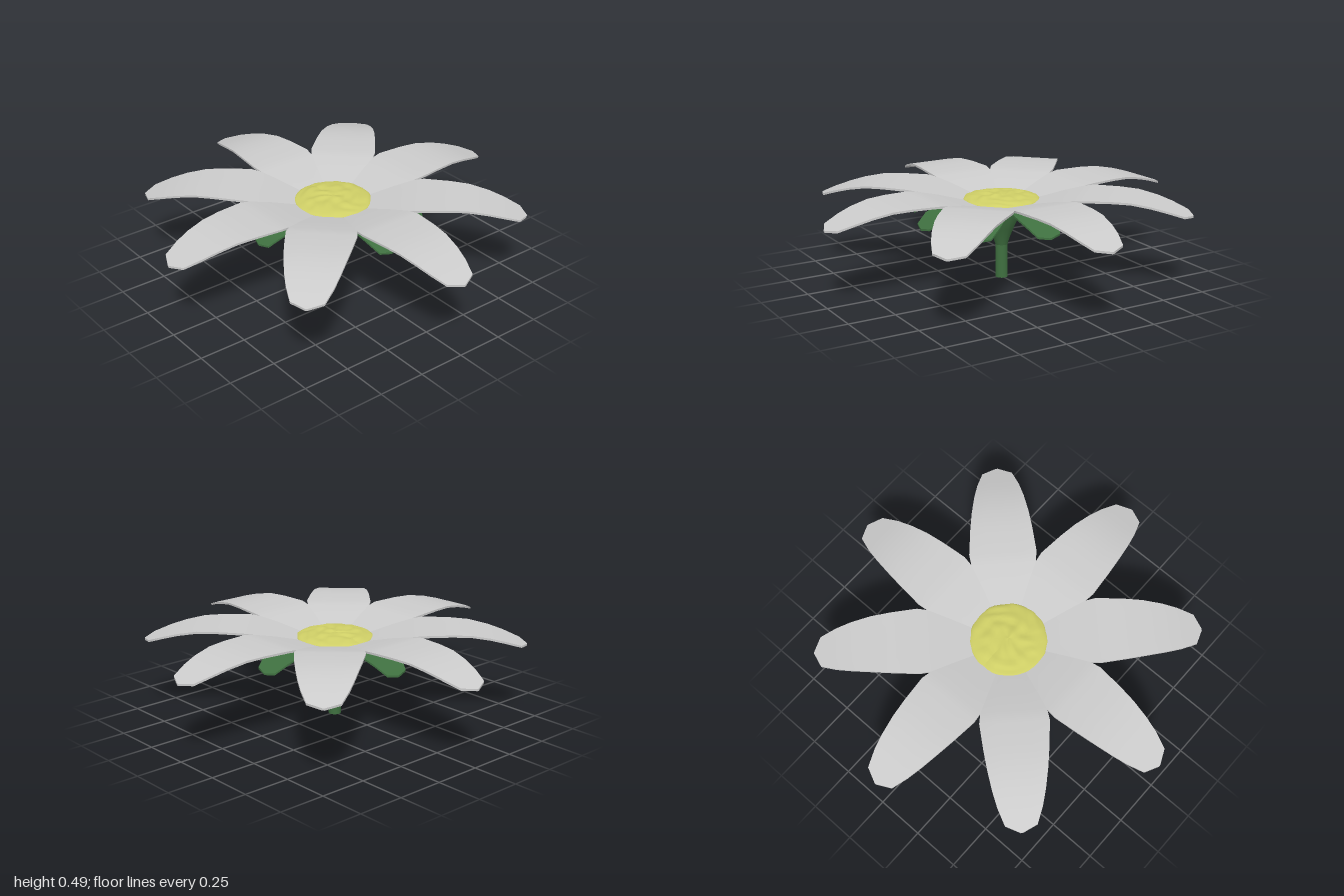
import * as THREE from 'three';
import { toCreasedNormals } from 'three/addons/utils/BufferGeometryUtils.js';

const COUNT = 8;

// Thin blade running out along +z; each section is [radius, top height, half width]
function bladeGeometry(sections, thickness) {
  const n = sections.length - 1;
  const geo = new THREE.BoxGeometry(2, 1, 1, 4, 1, n);
  const pos = geo.attributes.position;
  for (let i = 0; i < pos.count; i++) {
    const [r, y, w] = sections[Math.round((pos.getZ(i) + 0.5) * n)];
    pos.setXYZ(i, pos.getX(i) * w, pos.getY(i) > 0 ? y : y - thickness, r);
  }
  geo.computeVertexNormals();
  return geo;
}

// Ring of identical blades around the vertical axis
function whorl(name, geometry, material) {
  const group = new THREE.Group();
  group.name = name + 's';
  for (let i = 0; i < COUNT; i++) {
    const blade = new THREE.Mesh(geometry, material);
    blade.name = name;
    blade.rotation.y = (i / COUNT) * Math.PI * 2;
    group.add(blade);
  }
  return group;
}

function turned(name, profile, material) {
  const points = profile.map(([r, y]) => new THREE.Vector2(r, y));
  const geo = toCreasedNormals(new THREE.LatheGeometry(points, 16), 0.7);
  const mesh = new THREE.Mesh(geo, material);
  mesh.name = name;
  return mesh;
}

// Flattened, lumpy button of pollen
function flowerCentre(material) {
  const geo = new THREE.SphereGeometry(1, 40, 28);
  const pos = geo.attributes.position;
  for (let i = 0; i < pos.count; i++) {
    const x = pos.getX(i), y = pos.getY(i), z = pos.getZ(i);
    const lump = Math.sin(9 * x + 2 * Math.sin(5 * z)) * Math.sin(8 * z + 2 * Math.sin(6 * x + 1));
    const ring = 1 + 0.02 * lump;
    pos.setXYZ(i, x * 0.2 * ring, 0.427 + y * 0.024 + Math.max(y, 0) * 0.007 * lump, z * 0.2 * ring);
  }
  geo.computeVertexNormals();
  const mesh = new THREE.Mesh(geo, material);
  mesh.name = 'flowerCentre';
  return mesh;
}

export function createModel() {
  const grey = new THREE.MeshStandardMaterial({ color: 0xcccccc });
  const green = new THREE.MeshStandardMaterial({ color: 0x3f7040 });
  const yellow = new THREE.MeshStandardMaterial({ color: 0xcfcf66 });
  const flower = new THREE.Group();
  flower.name = 'flower';

  // Petals: rise from the centre, level off, then droop to a blunt tip
  const petal = bladeGeometry([
    [0.08, 0.405, 0.034], [0.2, 0.432, 0.083], [0.3, 0.458, 0.125], [0.4, 0.478, 0.167],
    [0.46, 0.487, 0.176], [0.6, 0.489, 0.163], [0.7, 0.485, 0.15], [0.8, 0.466, 0.132],
    [0.88, 0.443, 0.112], [0.965, 0.413, 0.08], [1.0, 0.402, 0.005],
  ], 0.011);
  flower.add(whorl('petal', petal, grey));

  // Sepals: shorter green blades curling down beneath the petals
  const sepal = bladeGeometry([
    [0.06, 0.39, 0.026], [0.12, 0.407, 0.05], [0.2, 0.42, 0.083], [0.27, 0.425, 0.104],
    [0.34, 0.409, 0.105], [0.4, 0.385, 0.093], [0.46, 0.343, 0.065], [0.475, 0.332, 0.005],
  ], 0.01);
  flower.add(whorl('sepal', sepal, green));

  // Stem and the flared cup above it
  flower.add(turned('stem', [[0, 0], [0.033, 0], [0.033, 0.19]], green));
  flower.add(turned('cup', [
    [0.033, 0.18], [0.045, 0.22], [0.065, 0.27], [0.087, 0.32], [0.097, 0.36], [0.105, 0.4], [0, 0.4],
  ], green));

  flower.add(flowerCentre(yellow));
  return flower;
}
